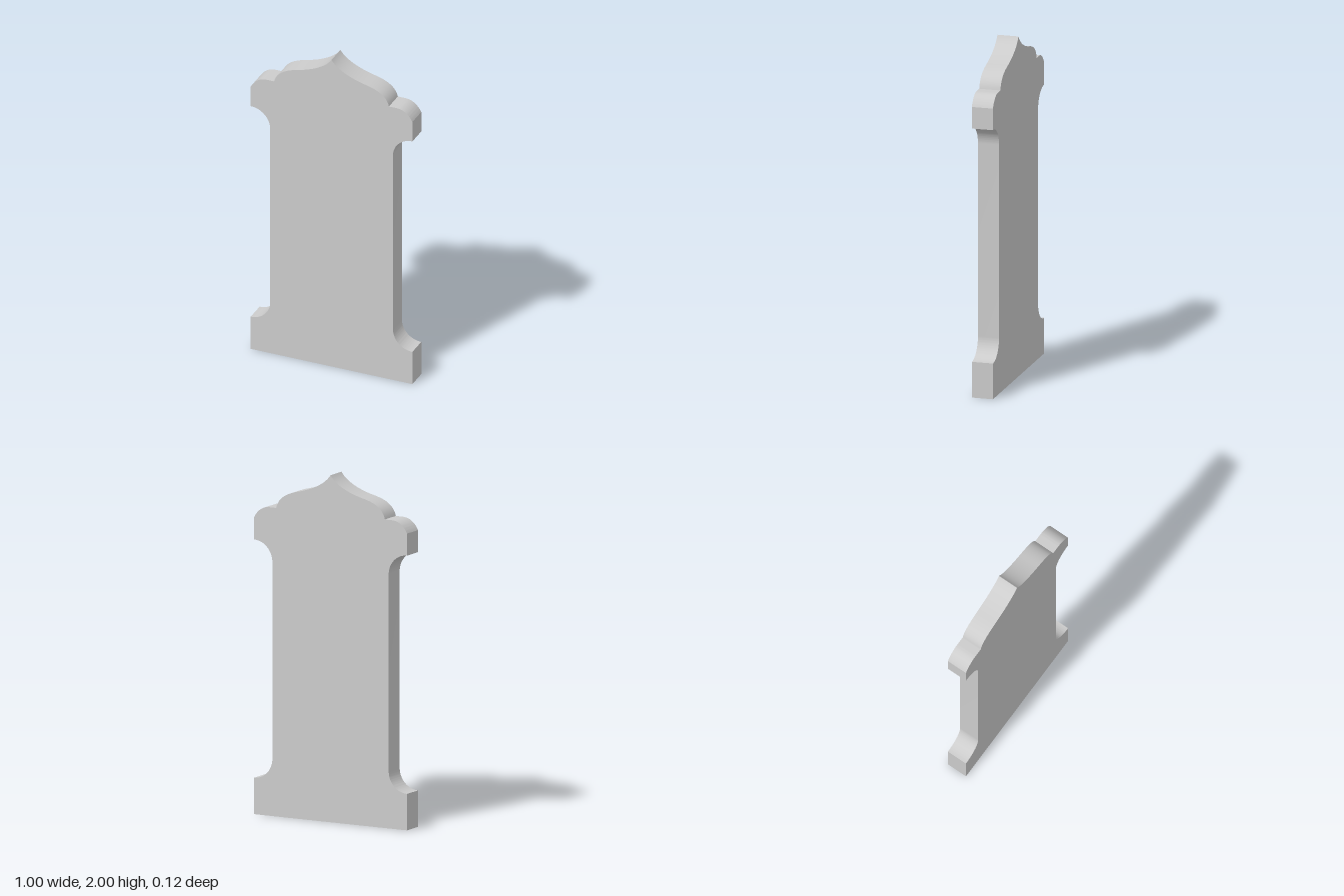
import * as THREE from 'three';
import { toCreasedNormals } from 'three/addons/utils/BufferGeometryUtils.js';

const DEPTH = 0.125;

// Right half of the outline, from the base corner up to the pointed tip
function halfOutline() {
  const path = new THREE.Path();
  path.moveTo(0.5, 0);
  path.lineTo(0.5, 0.21);
  path.absarc(0.5, 0.33, 0.12, -Math.PI / 2, -Math.PI, true); // lower cove
  path.lineTo(0.38, 1.463);
  path.absarc(0.5, 1.463, 0.12, Math.PI, Math.PI / 2, true); // upper cove
  path.lineTo(0.5, 1.71);
  path.bezierCurveTo(0.48, 1.75, 0.445, 1.778, 0.403, 1.778); // rounded shoulder
  path.lineTo(0.355, 1.778);
  path.bezierCurveTo(0.338, 1.85, 0.27, 1.872, 0.2, 1.888); // ogee crest
  path.bezierCurveTo(0.12, 1.908, 0.035, 1.945, 0, 2);
  return path.getPoints(16);
}

export function createModel() {
  const group = new THREE.Group();
  group.name = 'slab';

  // Mirror the half outline to close the silhouette
  const right = halfOutline();
  const left = right.slice(0, -1).reverse().map((p) => new THREE.Vector2(-p.x, p.y));
  const shape = new THREE.Shape([...right, ...left]);

  const geometry = new THREE.ExtrudeGeometry(shape, { depth: DEPTH, bevelEnabled: false });
  geometry.translate(0, 0, -DEPTH / 2);

  const slab = new THREE.Mesh(
    toCreasedNormals(geometry, 0.4),
    new THREE.MeshStandardMaterial({ color: 0xcccccc })
  );
  slab.name = 'ogeeToppedSlab';
  group.add(slab);
  return group;
}
